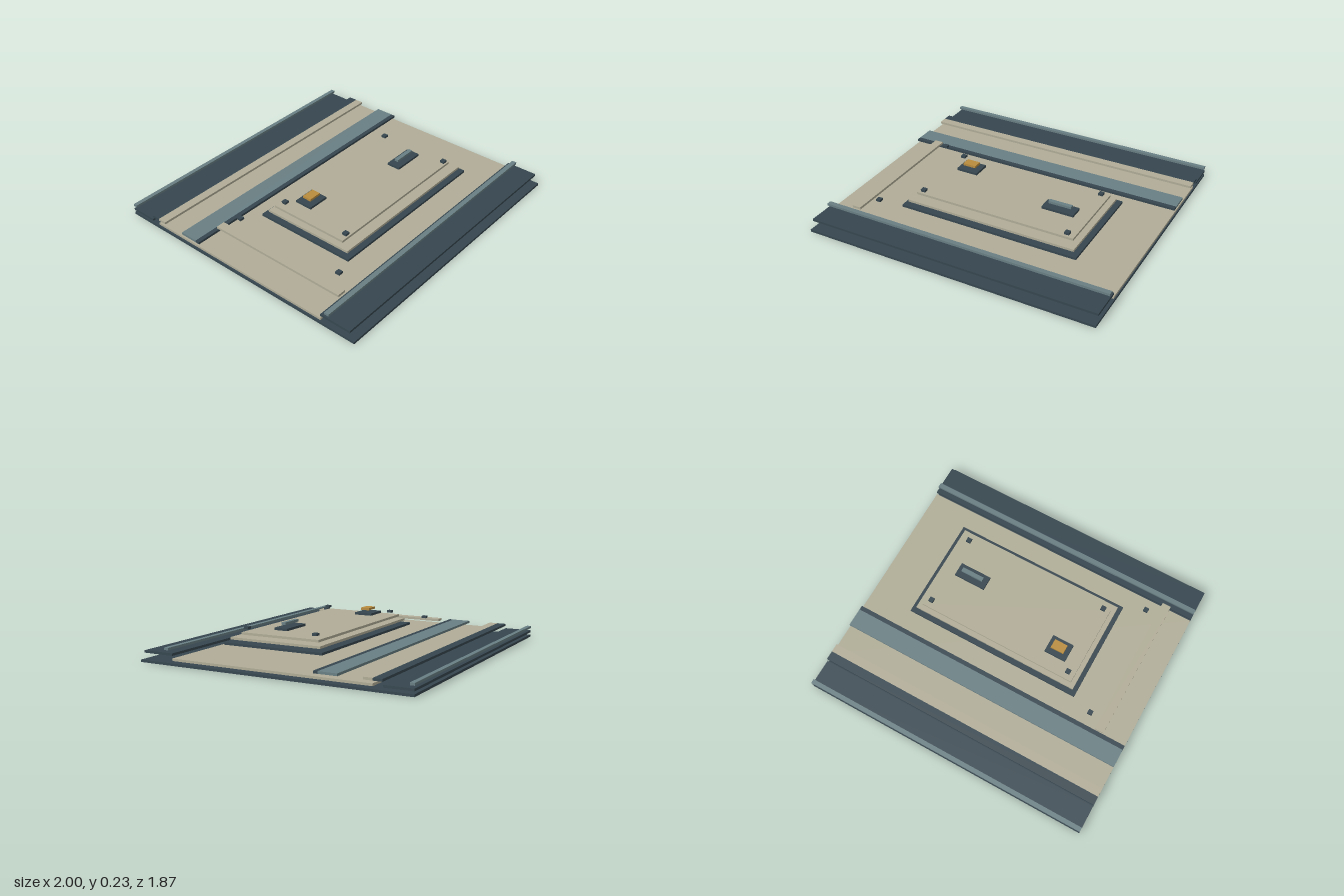
import * as THREE from 'three';

const THICK = 0.0155, STEP = 0.0313;

const paint = (name, color) => {
  const m = new THREE.MeshStandardMaterial({ color });
  m.name = name;
  return m;
};

export function createModel() {
  const dark = paint('dark slate', 0x36464f);
  const beige = paint('warm grey', 0xb0ac97);
  const teal = paint('grey teal', 0x697f83);
  const amber = paint('amber', 0xb98c3e);

  const model = new THREE.Group();
  model.name = 'layeredPanel';

  // One thin plate on a numbered level, given by its x and z limits
  const plate = (name, mat, level, x0, x1, z0, z1) => {
    const mesh = new THREE.Mesh(new THREE.BoxGeometry(x1 - x0, THICK, z1 - z0), mat);
    mesh.position.set((x0 + x1) / 2, level * STEP + THICK / 2, (z0 + z1) / 2);
    mesh.name = name;
    model.add(mesh);
  };
  // A full-width strip
  const strip = (name, mat, level, z0, z1) => plate(name, mat, level, -1, 1, z0, z1);
  // A small square stud
  const stud = (name, level, x, z) =>
    plate(name, dark, level, x - 0.016, x + 0.016, z - 0.016, z + 0.016);

  // Base and deck
  strip('base', dark, 0, -0.935, 0.935);
  strip('deck', beige, 1, -0.687, 0.687);

  // Back edge strips
  strip('backLedge', dark, 1, -0.935, -0.75);
  strip('backRail', teal, 2, -0.937, -0.908);
  strip('backInnerRail', dark, 2, -0.747, -0.687);
  strip('backDeckRib', beige, 2, -0.687, -0.628);

  // Cross band with its dark border
  strip('crossBand', teal, 2, -0.468, -0.342);
  strip('crossBandBorder', dark, 2, -0.342, -0.312);

  // Front edge strips
  strip('frontLedge', dark, 2, 0.687, 0.903);
  strip('frontRail', teal, 3, 0.717, 0.749);

  // Side rib and its studs
  plate('sideRib', beige, 3, -0.842, -0.782, -0.312, 0.687);
  for (const z of [-0.237, 0.577]) stud('deckStud', 4, -0.706, z);

  // Stepped hatch
  plate('hatchFrame', dark, 3, -0.562, 0.684, -0.187, 0.528);
  plate('hatchStep', beige, 4, -0.534, 0.654, -0.156, 0.498);
  plate('hatchLid', beige, 5, -0.504, 0.62, -0.127, 0.436);
  for (const x of [-0.457, 0.575]) for (const z of [-0.08, 0.422]) stud('hatchStud', 6, x, z);

  // Lamp and handle on the hatch
  plate('lampPad', dark, 6, -0.407, -0.256, -0.032, 0.092);
  plate('lamp', amber, 7, -0.376, -0.284, 0, 0.062);
  plate('handlePad', dark, 6, 0.308, 0.53, 0.153, 0.248);
  plate('handle', teal, 7, 0.34, 0.498, 0.187, 0.215);

  return model;
}
